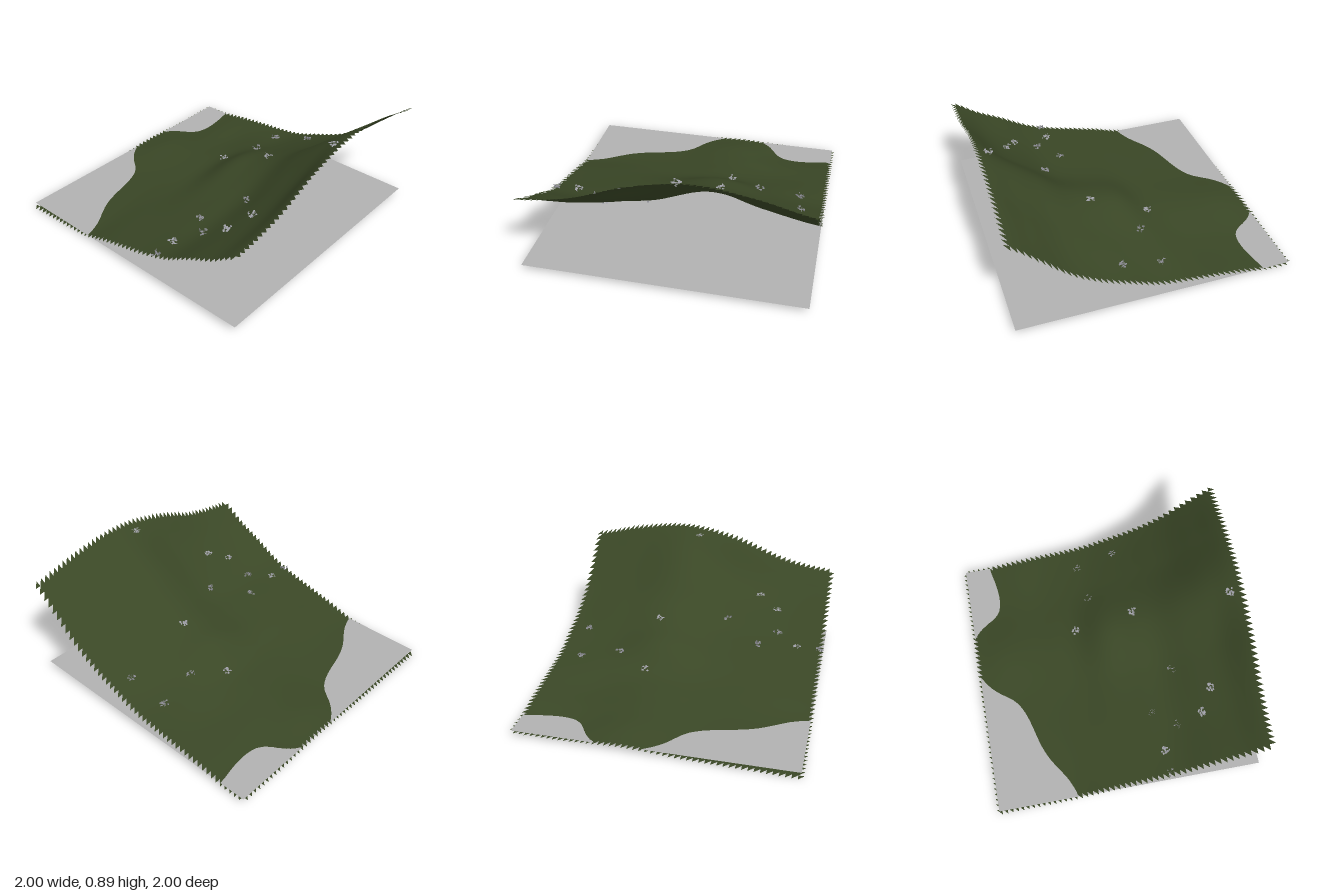
import * as THREE from 'three';
import { mergeGeometries } from 'three/addons/utils/BufferGeometryUtils.js';

// Ground heights: one row per 0.2 step in z (back to front), one column per 0.4 step in x
const HEIGHTS = [
  [0.005, 0.015, 0.025, 0.048, 0.035, 0.038],
  [0.015, 0.025, 0.037, 0.085, 0.040, 0.043],
  [0.025, 0.043, 0.060, 0.100, 0.070, 0.075],
  [0.042, 0.070, 0.090, 0.120, 0.090, 0.100],
  [0.100, 0.120, 0.130, 0.160, 0.140, 0.120],
  [0.150, 0.170, 0.200, 0.290, 0.200, 0.150],
  [0.200, 0.220, 0.250, 0.350, 0.280, 0.220],
  [0.270, 0.270, 0.310, 0.440, 0.380, 0.300],
  [0.380, 0.380, 0.450, 0.600, 0.500, 0.420],
  [0.480, 0.500, 0.600, 0.760, 0.680, 0.600],
  [0.600, 0.670, 0.820, 0.890, 0.850, 0.760],
];

// Catmull-Rom interpolation through evenly spaced values
function spline(v, t) {
  const n = v.length - 1;
  const i = Math.min(n - 1, Math.max(0, Math.floor(t)));
  const f = t - i;
  const a = v[Math.max(0, i - 1)], b = v[i], c = v[i + 1], d = v[Math.min(n, i + 2)];
  return b + 0.5 * f * (c - a + f * (2 * a - 5 * b + 4 * c - d + f * (3 * (b - c) + d - a)));
}

function heightAt(x, z) {
  const rows = HEIGHTS.map((row) => spline(row, (x + 1) / 0.4));
  return Math.max(0, spline(rows, (z + 1) / 0.2));
}

// Ground sheet: full cells inside, a single triangle per cell in the outer ring
function groundGeometry(n) {
  const positions = [], index = [];
  for (let j = 0; j <= n; j++) {
    for (let i = 0; i <= n; i++) {
      const x = -1 + (2 * i) / n, z = -1 + (2 * j) / n;
      positions.push(x, heightAt(x, z), z);
    }
  }
  for (let j = 0; j < n; j++) {
    for (let i = 0; i < n; i++) {
      const low = i === 0 || j === 0, high = i === n - 1 || j === n - 1;
      const a = j * (n + 1) + i, b = a + 1, c = a + n + 1, d = c + 1;
      if (!low) index.push(a, c, b);
      if (!high) index.push(b, c, d);
    }
  }
  const geo = new THREE.BufferGeometry();
  geo.setAttribute('position', new THREE.Float32BufferAttribute(positions, 3));
  geo.setIndex(index);
  geo.computeVertexNormals();
  return geo;
}

function seeded(seed) {
  let s = seed;
  return () => {
    s = (s * 16807) % 2147483647;
    return s / 2147483647;
  };
}

// Tuft: a loose cluster of tiny leaf plates; upright ones show only from the side
function tuftGeometry(rand, upright) {
  const leaves = [];
  for (let k = 0; k < 16; k++) {
    const leaf = new THREE.PlaneGeometry(0.016, 0.012);
    if (!upright) leaf.rotateX(-Math.PI / 2 + (rand() - 0.5) * 1.6);
    leaf.rotateY(rand() * Math.PI * 2);
    const angle = rand() * Math.PI * 2, r = 0.03 * Math.sqrt(rand());
    leaf.translate(r * Math.cos(angle), 0.004 + rand() * 0.022, r * Math.sin(angle));
    leaves.push(leaf);
  }
  return mergeGeometries(leaves);
}

export function createModel() {
  const model = new THREE.Group();
  model.name = 'hillside';
  const mat = (name, color) => {
    const m = new THREE.MeshStandardMaterial({ color, side: THREE.DoubleSide });
    m.name = name;
    return m;
  };
  const grass = mat('grass green', 0x3a4726);
  const water = mat('water grey', 0xb2b2b2);
  const leaf = mat('leaf grey', 0x9c9ca4);

  // Sloping ground
  const ground = new THREE.Mesh(groundGeometry(50), grass);
  ground.name = 'ground';
  model.add(ground);

  // Flat water level, showing where the ground dips below it
  const sheet = new THREE.Mesh(new THREE.PlaneGeometry(1.96, 1.96).rotateX(-Math.PI / 2), water);
  sheet.position.y = 0.045;
  sheet.name = 'waterPlane';
  model.add(sheet);

  // Scattered tufts, spreading ones first and then upright ones
  const rand = seeded(77);
  const spreading = [[0.26, -0.19], [0.26, 0.25], [-0.8, 0.29], [-0.6, 0.59], [-0.45, 0.68], [0.1, 0.9]];
  const upright = [[0.83, 0.2], [0.5, -0.05], [-0.23, 0.45], [-0.63, 0.41], [-0.96, 0.29], [0.8, -0.09], [-0.5, 0.25]];
  const addTuft = ([x, z], isUpright) => {
    const tuft = new THREE.Mesh(tuftGeometry(rand, isUpright), leaf);
    tuft.position.set(x, heightAt(x, z), z);
    tuft.name = 'tuft';
    model.add(tuft);
  };
  spreading.forEach((p) => addTuft(p, false));
  upright.forEach((p) => addTuft(p, true));

  return model;
}
